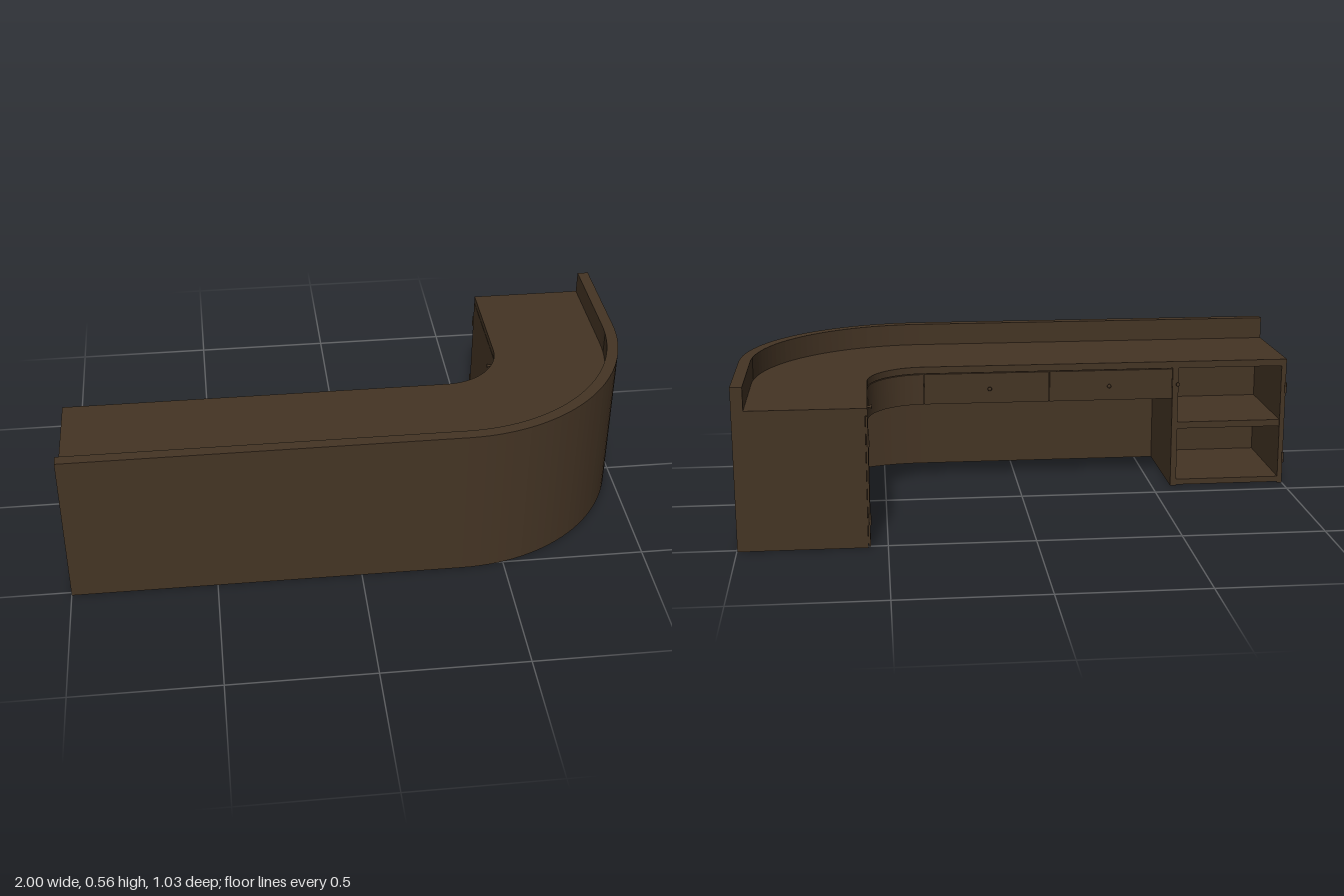
import * as THREE from 'three';

// Bend centre and radii of the curved counter plan
const CX = 0.353, CZ = -0.13, OUTER = 0.645, INNER = 0.205, WALL = 0.04;
const LEFT = -1, BACK = -0.515, FRONT = CZ + OUTER;
const DESK = 0.48, SLAB = 0.025, APRON = 0.34, HEIGHT = 0.56;

export function createModel() {
  const group = new THREE.Group();
  const wood = new THREE.MeshStandardMaterial({ color: 0x443424 });
  wood.name = 'darkWood';

  function add(name, geometry) {
    const mesh = new THREE.Mesh(geometry, wood);
    mesh.name = name;
    group.add(mesh);
    return mesh;
  }

  // Box given by its minimum and maximum corners
  function box(name, x0, x1, y0, y1, z0, z1) {
    const mesh = add(name, new THREE.BoxGeometry(x1 - x0, y1 - y0, z1 - z0));
    mesh.position.set((x0 + x1) / 2, (y0 + y1) / 2, (z0 + z1) / 2);
    return mesh;
  }

  // L-shaped strip with a quarter bend, between two radii
  function band(name, r0, r1, y0, y1, xStart = LEFT, zEnd = BACK) {
    const s = new THREE.Shape();
    s.moveTo(xStart, CZ + r1);
    s.lineTo(CX, CZ + r1);
    s.absarc(CX, CZ, r1, Math.PI / 2, 0, true);
    s.lineTo(CX + r1, zEnd);
    s.lineTo(CX + r0, zEnd);
    s.lineTo(CX + r0, CZ);
    s.absarc(CX, CZ, r0, 0, Math.PI / 2, false);
    s.lineTo(xStart, CZ + r0);
    s.closePath();
    const g = new THREE.ExtrudeGeometry(s, { depth: y1 - y0, bevelEnabled: false, curveSegments: 16 });
    g.rotateX(Math.PI / 2);
    g.translate(0, y1, 0);
    return add(name, g);
  }

  const rim = OUTER - WALL;        // inner radius of the front wall
  const deskZ = CZ + INNER;        // user-side edge of the long run
  const deskX = CX + INNER;        // user-side edge of the short run
  const cabX = -0.57;              // inner side of the open cabinet

  // Front wall, worktop and the drawer housing under it
  band('frontWall', rim, OUTER, 0, HEIGHT);
  band('worktop', INNER, rim, DESK - SLAB, DESK);
  band('drawerHousing', INNER + 0.006, rim, APRON, DESK - SLAB, cabX, CZ);

  // Open cabinet with one shelf
  const wallZ = CZ + rim;
  box('cabinetOuterSide', LEFT, LEFT + 0.018, 0, DESK - SLAB, deskZ, wallZ);
  box('cabinetInnerSide', cabX - 0.022, cabX, 0, DESK - SLAB, deskZ, wallZ);
  box('cabinetShelf', LEFT + 0.018, cabX - 0.022, 0.222, 0.247, deskZ + 0.004, wallZ);
  box('cabinetBottom', LEFT + 0.018, cabX - 0.022, 0.004, 0.025, deskZ, wallZ);

  // Closed pedestal with a door on its user side
  box('pedestal', deskX + 0.008, CX + rim, 0, DESK - SLAB, BACK, CZ + 0.01);
  box('pedestalDoor', deskX, deskX + 0.007, 0.004, DESK - SLAB - 0.003, BACK, CZ + 0.01);

  // Drawer fronts along the straight run and the curved apron panel
  const mid = (cabX + CX) / 2;
  for (const [a, b] of [[cabX, mid], [mid, CX]]) {
    box('drawerFront', a + 0.002, b - 0.002, APRON, DESK - SLAB - 0.003, deskZ, deskZ + 0.006);
  }
  band('curvedApron', INNER, INNER + 0.006, APRON, DESK - SLAB - 0.003, CX, CZ);

  // Turned knobs, built along -z
  const profile = [[0, 0.016], [0.006, 0.015], [0.008, 0.012], [0.004, 0.008], [0.004, 0]]
    .map(([r, h]) => new THREE.Vector2(r, h)).reverse();
  const knobGeometry = new THREE.LatheGeometry(profile, 12).rotateX(-Math.PI / 2);
  const knobY = 0.395;
  for (const x of [-0.588, -0.33, 0.112]) {
    add('knob', knobGeometry).position.set(x, knobY, deskZ);
  }
  const doorKnob = add('doorKnob', knobGeometry);
  doorKnob.position.set(deskX, knobY, -0.155);
  doorKnob.rotation.y = Math.PI / 2;

  // Hinge barrels on the outer corners of both cabinets
  const hinge = new THREE.CylinderGeometry(0.004, 0.004, 0.04, 10);
  for (const y of [0.1, 0.37]) {
    add('cabinetHinge', hinge).position.set(LEFT, y, deskZ);
    add('pedestalHinge', hinge).position.set(deskX, y, BACK);
  }

  return group;
}
